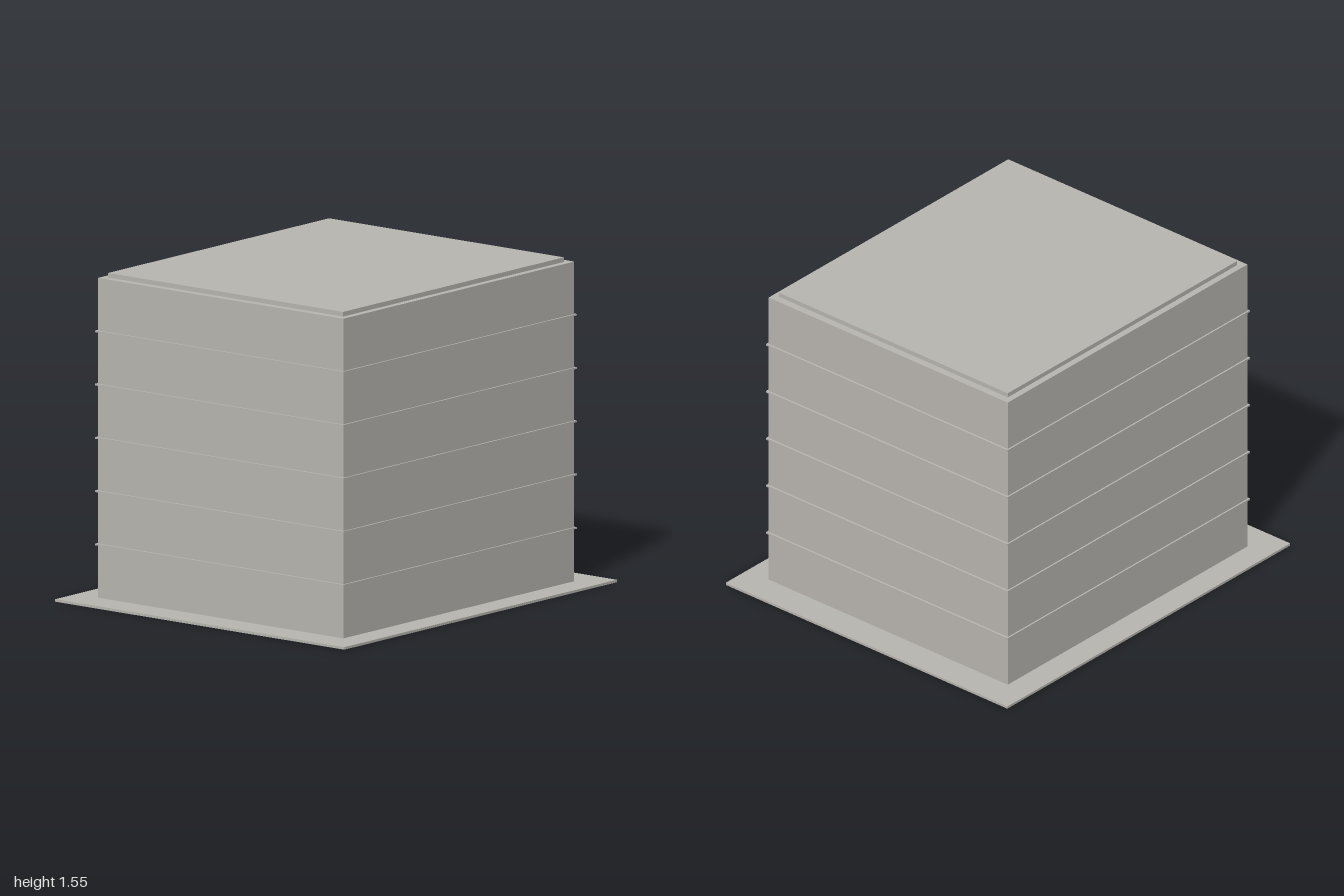
import * as THREE from 'three';

export function createModel() {
  const model = new THREE.Group();
  const concrete = new THREE.MeshStandardMaterial({ color: 0xb8b5b0 });
  concrete.name = 'warm grey concrete';

  // Box given by its full width, depth, bottom and top
  function slab(name, width, depth, bottom, top) {
    const mesh = new THREE.Mesh(new THREE.BoxGeometry(width, top - bottom, depth), concrete);
    mesh.name = name;
    mesh.position.y = (bottom + top) / 2;
    model.add(mesh);
  }

  const baseTop = 0.012, storey = 0.253, floors = 6;
  const roofY = baseTop + storey * floors;

  slab('groundPlate', 2, 1.738, 0, baseTop);
  slab('buildingBody', 1.694, 1.476, baseTop, roofY);

  // Thin ledges between the storeys
  for (let i = 1; i < floors; i++) {
    const y = baseTop + storey * i;
    slab('floorLedge' + i, 1.714, 1.492, y - 0.004, y + 0.004);
  }

  slab('roofCap', 1.62, 1.412, roofY, roofY + 0.022);
  return model;
}
